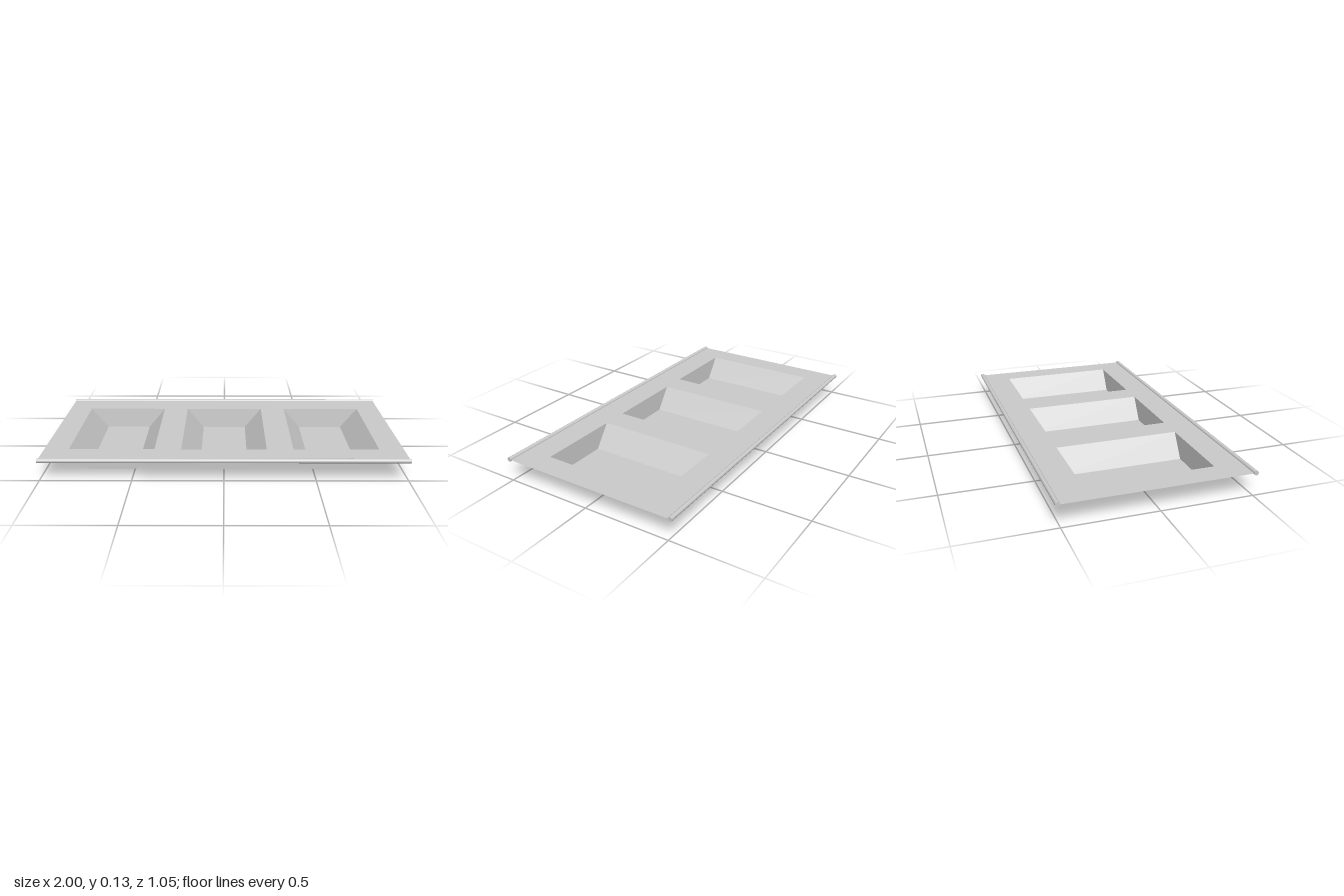
import * as THREE from 'three';

const TOP = 0.122;           // height of the sheet
const ROD_R = 0.0122;
const ROD_Z = 0.511;
const PAN_X = [-0.625, 0, 0.625];
const RIM = [0.238, 0.348];  // half width and half depth of the pan mouth
const BASE = [0.135, 0.34];  // half width and half depth of the pan floor

// Four corners of a rectangle, counter-clockwise seen from above
const corners = ([w, d], y) => [[-w, y, d], [w, y, d], [w, y, -d], [-w, y, -d]];

// Open tapered pan: four sloping walls and a floor, facing inwards
function panGeometry() {
  const rim = corners(RIM, TOP);
  const base = corners(BASE, 0);
  const pos = [];
  const quad = (a, b, c, d) => pos.push(...a, ...b, ...c, ...a, ...c, ...d);
  for (let i = 0; i < 4; i++) {
    const j = (i + 1) % 4;
    quad(rim[i], rim[j], base[j], base[i]);
  }
  quad(...base);
  const geo = new THREE.BufferGeometry();
  geo.setAttribute('position', new THREE.Float32BufferAttribute(pos, 3));
  geo.computeVertexNormals();
  return geo;
}

// Flat sheet with one rectangular opening per pan
function sheetGeometry() {
  const rect = (Path, x, w, d) => new Path(
    [[-w, -d], [w, -d], [w, d], [-w, d]].map(([px, py]) => new THREE.Vector2(x + px, py)));
  const shape = rect(THREE.Shape, 0, 1, ROD_Z);
  PAN_X.forEach((x) => shape.holes.push(rect(THREE.Path, x, ...RIM)));
  return new THREE.ShapeGeometry(shape).rotateX(-Math.PI / 2).translate(0, TOP, 0);
}

export function createModel() {
  const model = new THREE.Group();
  model.name = 'tray';
  const solid = new THREE.MeshStandardMaterial({ color: 0xcccccc });
  const thin = new THREE.MeshStandardMaterial({ color: 0xcccccc, side: THREE.DoubleSide });

  const add = (name, geo, mat) => {
    const mesh = new THREE.Mesh(geo, mat);
    mesh.name = name;
    model.add(mesh);
    return mesh;
  };

  add('sheet', sheetGeometry(), thin);

  // Row of three pans
  const pan = panGeometry();
  PAN_X.forEach((x, i) => { add(`pan${i + 1}`, pan, thin).position.x = x; });

  // Round rods stiffening the long edges
  const rod = new THREE.CylinderGeometry(ROD_R, ROD_R, 2, 24).rotateZ(Math.PI / 2);
  add('frontRod', rod, solid).position.set(0, TOP, ROD_Z);
  add('backRod', rod, solid).position.set(0, TOP, -ROD_Z);

  return model;
}
